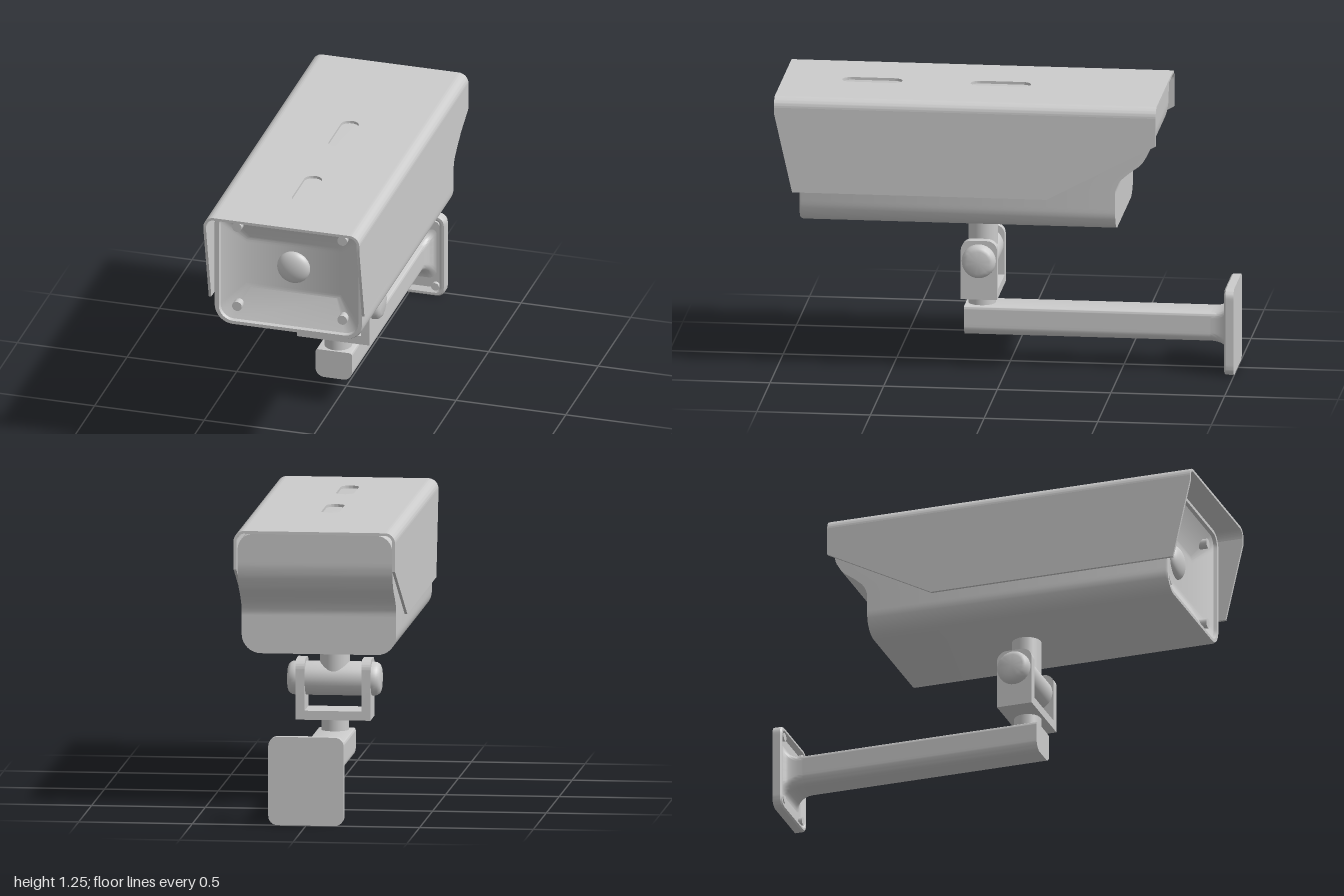
import * as THREE from 'three';
import { toCreasedNormals } from 'three/addons/utils/BufferGeometryUtils.js';

const grey = new THREE.MeshStandardMaterial({ color: 0xcccccc });

function add(parent, name, geometry, x = 0, y = 0, z = 0) {
  const mesh = new THREE.Mesh(geometry, grey);
  mesh.name = name;
  mesh.position.set(x, y, z);
  parent.add(mesh);
  return mesh;
}

// Rounded rectangle loop, mirrored in x; z may be a number or a function of y.
function loop(w, y0, y1, rBottom, rTop, z) {
  const right = [];
  const zAt = typeof z === 'function' ? z : () => z;
  const arc = (r, cy, from) => {
    for (let i = 0; i <= 8; i++) {
      const a = from + (i / 8) * Math.PI / 2;
      right.push([w - r + r * Math.cos(a), cy + r * Math.sin(a)]);
    }
  };
  arc(rBottom, y0 + rBottom, -Math.PI / 2);
  const a = y0 + rBottom, b = y1 - rTop;
  for (let i = 1; i < 24; i++) right.push([w, a + (b - a) * i / 24]);
  arc(rTop, b, 0);
  const left = right.map(([x, y]) => [-x, y]).reverse();
  return [...right, ...left].map(([x, y]) => [x, y, zAt(y)]);
}

// Skin through loops ordered back to front, closed at both ends.
function loft(loops, crease = 0.6) {
  const pos = [];
  const quad = (a, b, c, d) => pos.push(...a, ...b, ...c, ...a, ...c, ...d);
  const n = loops[0].length;
  for (let k = 0; k < loops.length - 1; k++) {
    for (let i = 0; i < n; i++) {
      const j = (i + 1) % n;
      quad(loops[k][i], loops[k][j], loops[k + 1][j], loops[k + 1][i]);
    }
  }
  const back = loops[0], front = loops[loops.length - 1];
  for (let i = 0; i < n / 2 - 1; i++) {
    const m = n - 1 - i;
    quad(back[i], back[m], back[m - 1], back[i + 1]);
    quad(front[m], front[i], front[i + 1], front[m - 1]);
  }
  const g = new THREE.BufferGeometry();
  g.setAttribute('position', new THREE.Float32BufferAttribute(pos, 3));
  return toCreasedNormals(g, crease);
}

function extrude(shape, depth) {
  return toCreasedNormals(
    new THREE.ExtrudeGeometry(shape, { depth, bevelEnabled: false, curveSegments: 10 }), 0.6);
}

// Side profile drawn as (z, y); thickness runs from the local origin towards -x.
const sidePlate = (shape, depth) => extrude(shape, depth).rotateY(-Math.PI / 2);

function slot(z0, z1, r) {
  const p = new THREE.Path();
  p.absarc(0, z1 - r, r, 0, Math.PI, false);
  p.absarc(0, z0 + r, r, Math.PI, Math.PI * 2, false);
  p.closePath();
  return p;
}

function buildHousing() {
  const g = new THREE.Group();
  g.name = 'housing';

  // Back wall: upright below, sweeping out under the hood
  const wall = [[0.68, -0.5], [0.87, -0.5], [0.91, -0.515], [0.95, -0.56], [0.99, -0.615],
    [1.04, -0.645], [1.09, -0.655], [1.25, -0.66]];
  const backZ = (y) => {
    let i = 0;
    while (i < wall.length - 2 && y > wall[i + 1][0]) i++;
    const [ya, za] = wall[i], [yb, zb] = wall[i + 1];
    return za + (zb - za) * (y - ya) / (yb - ya);
  };
  add(g, 'body', loft([
    loop(0.34, 0.685, 1.235, 0.085, 0.07, backZ),
    loop(0.34, 0.685, 1.235, 0.085, 0.07, 0.88),
    loop(0.335, 0.69, 1.23, 0.08, 0.065, 0.89),
    loop(0.318, 0.705, 1.215, 0.065, 0.05, 0.89),
    loop(0.313, 0.71, 1.21, 0.06, 0.045, 0.875),
    loop(0.215, 0.84, 1.085, 0.02, 0.02, 0.81),
  ]));

  const lens = add(g, 'lens', new THREE.SphereGeometry(0.075, 32, 20), 0, 0.965, 0.81);
  lens.scale.z = 0.5;

  for (const x of [-0.24, 0.24]) for (const y of [0.77, 1.155]) {
    add(g, 'frontScrew', new THREE.CylinderGeometry(0.022, 0.022, 0.06, 20).rotateX(Math.PI / 2), x, y, 0.845);
  }
  return g;
}

function buildHood() {
  const g = new THREE.Group();
  g.name = 'hood';
  const t = 0.012, w = 0.355, top = 1.25, r = 0.045, z0 = -0.68, z1 = 1;

  // Top sheet with two slots
  const sheet = new THREE.Shape();
  sheet.moveTo(r - w, z0).lineTo(w - r, z0).lineTo(w - r, z1).lineTo(r - w, z1).closePath();
  sheet.holes.push(slot(-0.09, 0.175, 0.04), slot(0.475, 0.74, 0.04));
  add(g, 'hoodTop', extrude(sheet, t).rotateX(Math.PI / 2), 0, top, 0);

  const side = new THREE.Shape([[z1, top - r], [z1, 1.18], [0.92, 0.825], [-0.2, 0.825],
    [z0, 1.08], [z0, top - r]].map(([a, b]) => new THREE.Vector2(a, b)));

  for (const s of [-1, 1]) {
    add(g, 'hoodSide', sidePlate(side, t), s > 0 ? w : t - w, 0, 0);
    const start = s > 0 ? 0 : Math.PI / 2;
    const bend = new THREE.Shape();
    bend.absarc(0, 0, r, start, start + Math.PI / 2, false);
    bend.absarc(0, 0, r - t, start + Math.PI / 2, start, true);
    bend.closePath();
    add(g, 'hoodBend', extrude(bend, z1 - z0), s * (w - r), top - r, z0);
  }
  return g;
}

function buildJoint() {
  const g = new THREE.Group();
  g.name = 'tiltJoint';
  const z = 0.12;
  add(g, 'neck', new THREE.CylinderGeometry(0.065, 0.065, 0.21, 32), 0, 0.595, z);

  // Pivot pin with rounded ends
  const half = [[0, 0.205], [0.05, 0.205], [0.063, 0.2], [0.072, 0.188], [0.075, 0.17]];
  const pin = [...half, ...half.map(([r, y]) => [r, -y]).reverse()]
    .reverse().map(([r, y]) => new THREE.Vector2(r, y));
  add(g, 'pivotPin',
    toCreasedNormals(new THREE.LatheGeometry(pin, 36), 0.6).rotateZ(Math.PI / 2), 0, 0.49, z);

  // Yoke cheeks and base
  const cheek = new THREE.Shape();
  cheek.moveTo(0.04, 0.315).lineTo(0.2, 0.315).lineTo(0.2, 0.535);
  cheek.absarc(0.155, 0.535, 0.045, 0, Math.PI / 2, false);
  cheek.absarc(0.085, 0.535, 0.045, Math.PI / 2, Math.PI, false);
  cheek.closePath();
  for (const x of [0.165, -0.125]) add(g, 'yokeCheek', sidePlate(cheek, 0.04), x, 0, 0);
  add(g, 'yokeBase', new THREE.BoxGeometry(0.33, 0.04, 0.16), 0, 0.335, z);
  add(g, 'swivelPost', new THREE.CylinderGeometry(0.06, 0.06, 0.075, 32), 0, 0.285, z + 0.005);
  return g;
}

function buildWallMount() {
  const g = new THREE.Group();
  g.name = 'wallMount';
  add(g, 'arm', loft([
    loop(0.083, 0.13, 0.262, 0.04, 0.012, -0.97),
    loop(0.083, 0.13, 0.262, 0.04, 0.012, 0.195),
  ]));

  // Flare where the arm meets the plate
  const flare = [];
  for (let i = 0; i <= 8; i++) {
    const a = (i / 8) * Math.PI / 2, d = 0.04 * (1 - Math.sin(a));
    flare.push(loop(0.083 + d, 0.13 - d * 1.3, 0.262 + d * 1.3, 0.04, 0.02, -0.89 - 0.085 * Math.cos(a)));
  }
  add(g, 'armFlare', loft(flare));

  // Plate with a raised rim
  add(g, 'wallPlate', loft([
    loop(0.166, 0, 0.39, 0.04, 0.04, -1),
    loop(0.166, 0, 0.39, 0.04, 0.04, -0.965),
    loop(0.16, 0.006, 0.384, 0.036, 0.036, -0.958),
    loop(0.15, 0.016, 0.374, 0.03, 0.03, -0.958),
    loop(0.135, 0.034, 0.356, 0.025, 0.025, -0.975),
  ]));
  for (const x of [-0.12, 0.12]) for (const y of [0.045, 0.345]) {
    add(g, 'wallScrew', new THREE.CylinderGeometry(0.018, 0.018, 0.025, 20).rotateX(Math.PI / 2), x, y, -0.97);
  }
  return g;
}

export function createModel() {
  const model = new THREE.Group();
  model.name = 'securityCamera';
  model.add(buildHousing(), buildHood(), buildJoint(), buildWallMount());
  return model;
}
